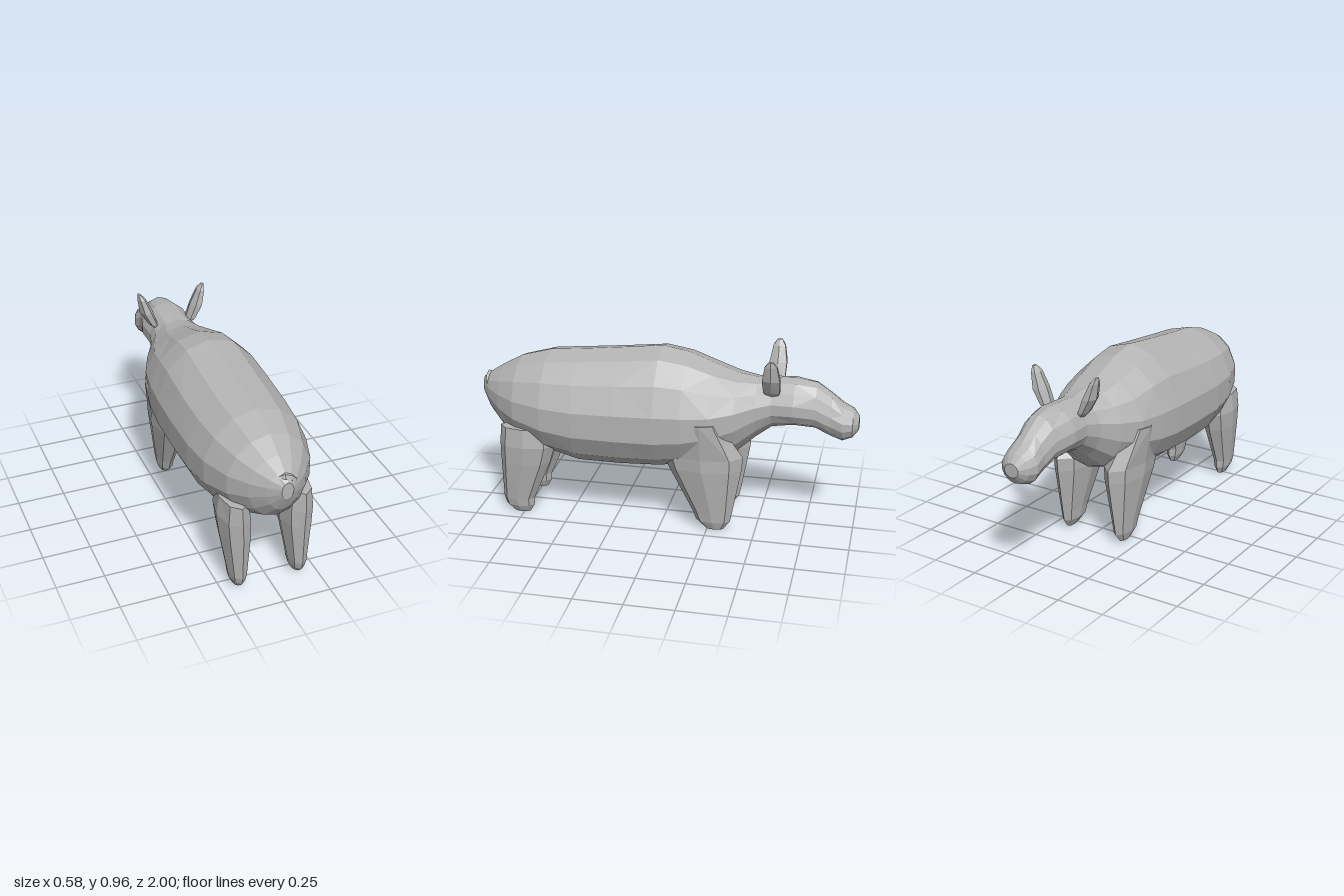
import * as THREE from 'three';

const hide = new THREE.MeshStandardMaterial({ color: 0xb4b4b4, flatShading: true });
hide.name = 'grey hide';

// Skins a list of equal-sized rings of [x, y, z] points and closes both ends.
function loft(rings, name) {
  const n = rings[0].length, pos = [], index = [];
  rings.forEach(ring => ring.forEach(p => pos.push(...p)));
  for (let i = 0; i < rings.length - 1; i++) {
    for (let j = 0; j < n; j++) {
      const a = i * n + j, b = i * n + (j + 1) % n, c = a + n, d = b + n;
      if ((i + j) % 2) index.push(a, b, c, b, d, c);
      else index.push(a, b, d, a, d, c);
    }
  }
  const cap = (ring, start, flip) => {
    const k = pos.length / 3;
    pos.push(...[0, 1, 2].map(m => ring.reduce((s, p) => s + p[m], 0) / n));
    for (let j = 0; j < n; j++) {
      const a = start + j, b = start + (j + 1) % n;
      index.push(k, flip ? a : b, flip ? b : a);
    }
  };
  cap(rings[0], 0, false);
  cap(rings[rings.length - 1], (rings.length - 1) * n, true);
  const geo = new THREE.BufferGeometry();
  geo.setAttribute('position', new THREE.Float32BufferAttribute(pos, 3));
  geo.setIndex(index);
  geo.computeVertexNormals();
  const mesh = new THREE.Mesh(geo, hide);
  mesh.name = name;
  return mesh;
}

// Rings across the body, each [z, top, bottom, widest height, half width].
function bodyRings(stations, n) {
  return stations.map(([z, top, bottom, mid, w]) =>
    Array.from({ length: n }, (_, j) => {
      const t = j / n * Math.PI * 2, c = Math.cos(t);
      return [w * Math.sin(t), mid + c * (c > 0 ? top - mid : mid - bottom), z];
    }));
}

// Level rings from top to bottom, each [y, x, z, half width, half depth].
function limbRings(stations, side, n) {
  return stations.map(([y, x, z, rx, rz]) =>
    Array.from({ length: n }, (_, j) => {
      const t = j / n * Math.PI * 2;
      return [side * x + rx * Math.cos(t), y, z + rz * Math.sin(t)];
    }));
}

// Trunk, neck, head and muzzle; the head points to -z
const BODY = [
  [0.995, 0.70, 0.61, 0.65, 0.03],
  [0.95, 0.735, 0.52, 0.64, 0.085],
  [0.88, 0.78, 0.44, 0.62, 0.15],
  [0.78, 0.835, 0.39, 0.60, 0.22],
  [0.62, 0.88, 0.335, 0.58, 0.275],
  [0.45, 0.895, 0.29, 0.57, 0.295],
  [0.22, 0.92, 0.29, 0.57, 0.30],
  [0.02, 0.945, 0.30, 0.57, 0.297],
  [-0.12, 0.92, 0.32, 0.58, 0.287],
  [-0.26, 0.865, 0.355, 0.60, 0.262],
  [-0.38, 0.825, 0.40, 0.63, 0.21],
  [-0.48, 0.81, 0.49, 0.66, 0.15],
  [-0.56, 0.815, 0.555, 0.68, 0.13],
  [-0.67, 0.82, 0.575, 0.68, 0.135],
  [-0.78, 0.805, 0.565, 0.66, 0.105],
  [-0.86, 0.75, 0.525, 0.62, 0.09],
  [-0.92, 0.70, 0.505, 0.60, 0.098],
  [-0.97, 0.675, 0.525, 0.60, 0.08],
  [-1.0, 0.635, 0.565, 0.60, 0.04],
];

const FRONT_LEG = [
  [0.62, 0.20, -0.22, 0.075, 0.09],
  [0.42, 0.155, -0.22, 0.09, 0.21],
  [0.35, 0.155, -0.23, 0.087, 0.195],
  [0.10, 0.16, -0.275, 0.046, 0.105],
  [0.05, 0.16, -0.28, 0.04, 0.09],
  [0.005, 0.165, -0.29, 0.018, 0.045],
];

const REAR_LEG = [
  [0.50, 0.165, 0.72, 0.065, 0.14],
  [0.40, 0.163, 0.72, 0.08, 0.15],
  [0.30, 0.16, 0.735, 0.075, 0.135],
  [0.08, 0.16, 0.78, 0.045, 0.085],
  [0.04, 0.16, 0.775, 0.038, 0.078],
  [0.0, 0.16, 0.765, 0.018, 0.045],
];

const EAR = [
  [0.958, 0.182, -0.56, 0.008, 0.014],
  [0.93, 0.17, -0.56, 0.022, 0.036],
  [0.85, 0.145, -0.56, 0.036, 0.052],
  [0.775, 0.11, -0.56, 0.026, 0.048],
  [0.75, 0.09, -0.56, 0.02, 0.035],
];

export function createModel() {
  const model = new THREE.Group();
  model.name = 'animal';
  model.add(loft(bodyRings(BODY, 14), 'body'));

  // Paired legs and ears
  for (const [side, label] of [[1, 'left'], [-1, 'right']]) {
    // facing -z, the animal's own left is at -x; labels follow the model frame
    model.add(loft(limbRings(FRONT_LEG, side, 8), label + ' front leg'));
    model.add(loft(limbRings(REAR_LEG, side, 8), label + ' rear leg'));
    model.add(loft(limbRings(EAR, side, 6), label + ' ear'));
  }

  // Short curled tail lying on the rump
  const curl = new THREE.CatmullRomCurve3([
    new THREE.Vector3(-0.04, 0.69, 0.94),
    new THREE.Vector3(0, 0.718, 0.965),
    new THREE.Vector3(0.04, 0.69, 0.962),
    new THREE.Vector3(0.05, 0.64, 0.94),
  ]);
  const tail = new THREE.Mesh(new THREE.TubeGeometry(curl, 6, 0.018, 5), hide);
  tail.name = 'tail';
  model.add(tail);
  return model;
}
